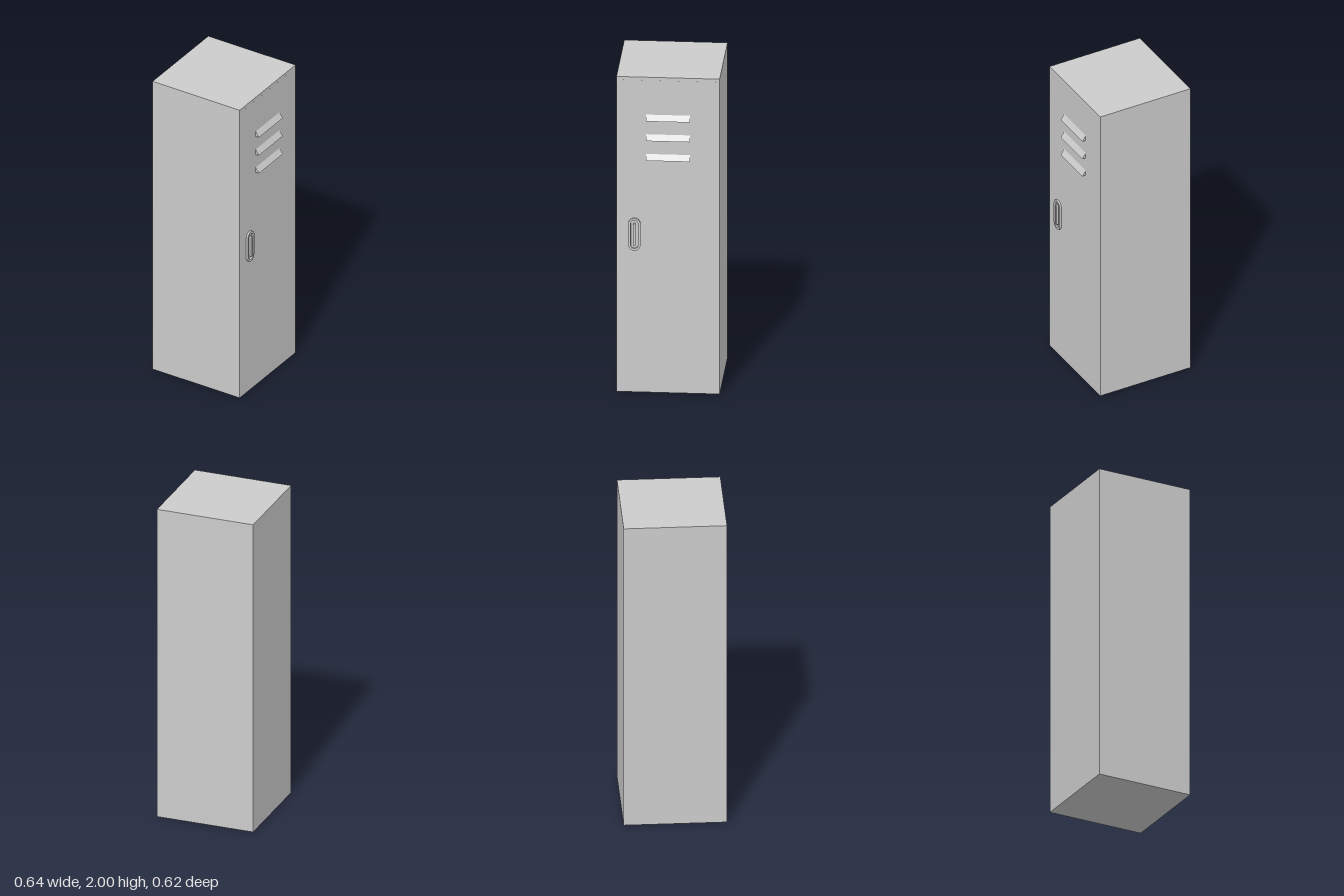
import * as THREE from 'three';

const mat = new THREE.MeshStandardMaterial({ color: 0xcccccc });
const FACE = 0.295; // x of the door side

function add(group, name, geometry, x = 0, y = 0, z = 0) {
  const mesh = new THREE.Mesh(geometry, mat);
  mesh.name = name;
  mesh.position.set(x, y, z);
  group.add(mesh);
  return mesh;
}

// Upright rounded slot outline, centred on the origin
function slot(path, radius, height) {
  const h = height / 2 - radius;
  path.absarc(0, h, radius, 0, Math.PI, false);
  path.absarc(0, -h, radius, Math.PI, Math.PI * 2, false);
  path.closePath();
  return path;
}

// Extrusion turned so that its depth runs along +x
function extrudeOut(shape, depth) {
  return new THREE.ExtrudeGeometry(shape, { depth, bevelEnabled: false, curveSegments: 12 })
    .rotateY(Math.PI / 2);
}

export function createModel() {
  const locker = new THREE.Group();
  locker.name = 'locker';

  // Cabinet with a nearly flush door
  const left = -0.319;
  add(locker, 'cabinet', new THREE.BoxGeometry(FACE - left, 2, 0.615), (FACE + left) / 2, 1, 0);
  add(locker, 'door', new THREE.BoxGeometry(0.01, 1.96, 0.575), FACE - 0.0047, 1, 0);

  // Three sloped vent louvres
  const wedge = new THREE.Shape();
  wedge.moveTo(-0.001, 0).lineTo(0.023, 0).lineTo(-0.001, 0.037).closePath();
  const louvre = new THREE.ExtrudeGeometry(wedge, { depth: 0.263, bevelEnabled: false });
  for (let i = 0; i < 3; i++) {
    add(locker, 'ventLouvre', louvre, FACE, 1.728 - i * 0.125, -0.132);
  }

  // Handle: raised rounded rim around a grip bar
  const handle = new THREE.Group();
  handle.name = 'handle';
  handle.position.set(FACE, 1.003, 0.2);
  const rim = slot(new THREE.Shape(), 0.036, 0.205);
  rim.holes.push(slot(new THREE.Path(), 0.022, 0.177));
  add(handle, 'handleRim', extrudeOut(rim, 0.012));
  add(handle, 'handleBar', extrudeOut(slot(new THREE.Shape(), 0.0075, 0.14), 0.017));
  locker.add(handle);

  return locker;
}
